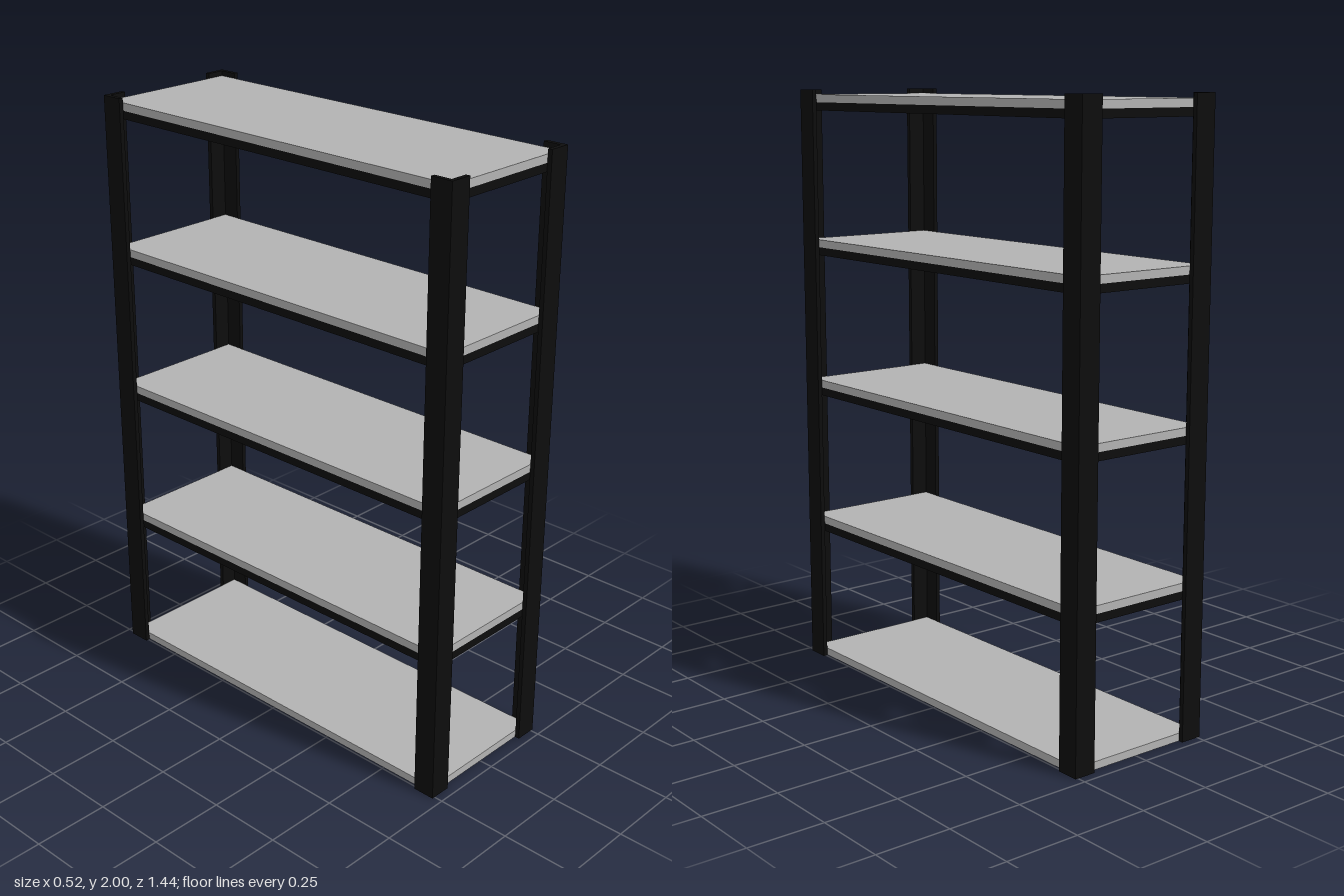
import * as THREE from 'three';

export function createModel() {
  const model = new THREE.Group();
  model.name = 'shelvingUnit';
  const blackMetal = new THREE.MeshStandardMaterial({ name: 'blackMetal', color: 0x0d0d0d });
  const greyBoard = new THREE.MeshStandardMaterial({ name: 'greyBoard', color: 0xb2b2b2 });

  const halfX = 0.26, halfZ = 0.72, height = 2;
  const flange = 0.075, wall = 0.015;
  const shelfX = 0.243, shelfZ = 0.704, shelfT = 0.026, step = 0.4895, rail = 0.027;

  function box(name, w, h, d, x, y, z, material, parent) {
    const mesh = new THREE.Mesh(new THREE.BoxGeometry(w, h, d), material);
    mesh.name = name;
    mesh.position.set(x, y, z);
    parent.add(mesh);
  }

  // Four L-section corner posts, open towards the centre
  for (const sx of [-1, 1]) {
    for (const sz of [-1, 1]) {
      const corners = [[0, 0], [flange, 0], [flange, wall], [wall, wall], [wall, flange], [0, flange]];
      const shape = new THREE.Shape(corners.map(([a, b]) =>
        new THREE.Vector2(sx * (halfX - a), -sz * (halfZ - b))));
      const geometry = new THREE.ExtrudeGeometry(shape, { depth: height, bevelEnabled: false });
      geometry.rotateX(-Math.PI / 2);
      const post = new THREE.Mesh(geometry, blackMetal);
      post.name = (sz > 0 ? 'front' : 'back') + (sx > 0 ? 'Left' : 'Right') + 'Post';
      model.add(post);
    }
  }

  // Five boards; all but the lowest rest on a frame of rails
  for (let i = 0; i < 5; i++) {
    const level = new THREE.Group();
    level.name = 'shelfLevel' + (i + 1);
    level.position.y = i * step;
    box('shelfBoard', shelfX * 2, shelfT, shelfZ * 2, 0, shelfT / 2, 0, greyBoard, level);
    if (i > 0) {
      for (const s of [-1, 1]) {
        box('longRail', rail, rail, shelfZ * 2, s * (shelfX - rail / 2), -rail / 2, 0, blackMetal, level);
        box('shortRail', (shelfX - rail) * 2, rail, rail, 0, -rail / 2, s * (shelfZ - rail / 2), blackMetal, level);
      }
    }
    model.add(level);
  }
  return model;
}
